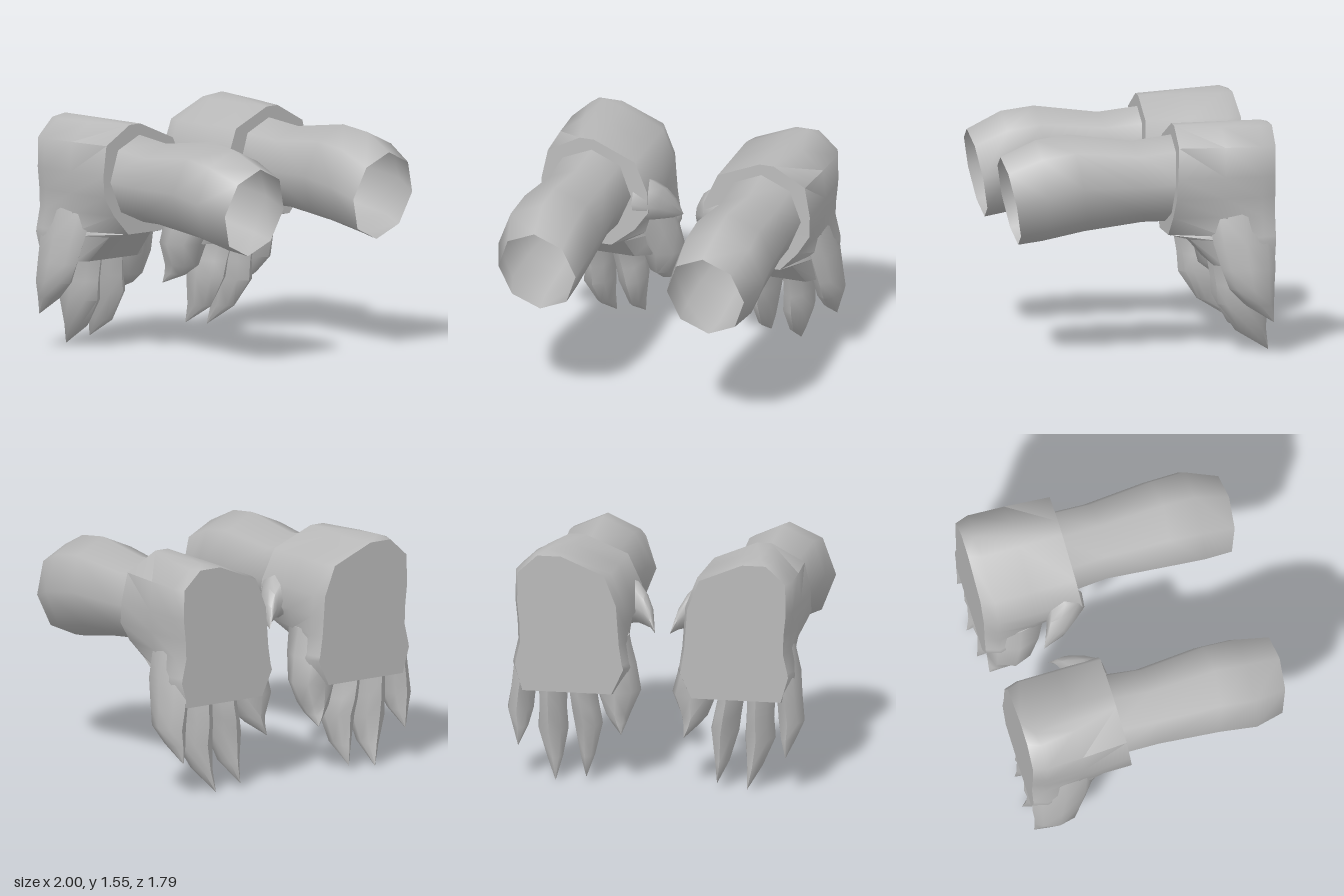
import * as THREE from 'three';
import { toCreasedNormals } from 'three/addons/utils/BufferGeometryUtils.js';

const V = (x, y, z) => new THREE.Vector3(x, y, z);

// Skin a list of equal-sized rings; an apex closes an end, null leaves it open.
function loft(rings, startApex, endApex, side, crease) {
  const n = rings[0].length;
  const points = rings.flat().map((p) => V(p.x * side, p.y, p.z));
  const index = [];
  for (let r = 0; r < rings.length - 1; r++) {
    for (let i = 0; i < n; i++) {
      const a = r * n + i, b = r * n + (i + 1) % n;
      index.push(a, b, b + n, a, b + n, a + n);
    }
  }
  const fan = (apex, start, flip) => {
    if (!apex) return;
    const c = points.push(V(apex.x * side, apex.y, apex.z)) - 1;
    for (let i = 0; i < n; i++) {
      const a = start + i, b = start + (i + 1) % n;
      index.push(c, ...(flip ? [b, a] : [a, b]));
    }
  };
  fan(startApex, 0, true);
  fan(endApex, (rings.length - 1) * n, false);

  // Turn all faces outward, whichever way the rings run
  const mid = points.reduce((s, p) => s.add(p), V(0, 0, 0)).divideScalar(points.length);
  const local = points.map((p) => p.clone().sub(mid));
  let volume = 0;
  for (let i = 0; i < index.length; i += 3) {
    volume += local[index[i]].dot(local[index[i + 1]].clone().cross(local[index[i + 2]]));
  }
  if (volume < 0) index.reverse();

  const geometry = new THREE.BufferGeometry().setFromPoints(points);
  geometry.setIndex(index);
  return toCreasedNormals(geometry, crease);
}

// Eight-sided oval; place() maps the unit circle to a point.
const oval = (place) => Array.from({ length: 8 }, (_, i) => {
  const a = (i / 8) * Math.PI * 2;
  return place(Math.sin(a), Math.cos(a));
});
const mix = (a, b, t) => (a + b) / 2 + ((b - a) / 2) * t;

// Forearm rings: bottom y, z; top y, z; inner x, outer x
const ARM = [
  [0.74, 0.78, 1.33, 0.90, 0.32, 0.86],
  [0.765, 0.62, 1.44, 0.67, 0.295, 0.93],
  [0.82, 0.34, 1.47, 0.45, 0.30, 0.91],
  [0.87, -0.05, 1.415, 0.02, 0.335, 0.875],
  [0.87, -0.35, 1.46, -0.35, 0.30, 0.88],
];

// Palm levels: y, front inner x, front outer x, front z, back inner x, back outer x
const PALM = [
  [1.52, 0.58, 0.68, -0.25, 0.58, 0.80],
  [1.40, 0.29, 0.90, -0.243, 0.29, 0.93],
  [1.20, 0.20, 0.94, -0.23, 0.21, 0.935],
  [1.06, 0.19, 0.94, -0.22, 0.20, 0.92],
  [0.93, 0.28, 0.86, -0.21, 0.19, 0.915],
  [0.80, 0.44, 0.74, -0.20, 0.17, 0.945],
  [0.77, 0.40, 0.78, -0.34, 0.16, 0.95],
  [0.60, 0.38, 0.82, -0.49, 0.24, 0.90],
];

// Finger levels: y, inner x, outer x, front z, back z; then the claw tip
const FINGERS = {
  outerFinger: {
    levels: [[0.95, 0.74, 0.91, -0.45, -0.88], [0.75, 0.78, 0.965, -0.48, -0.89],
      [0.58, 0.815, 0.98, -0.53, -0.89], [0.45, 0.825, 1.0, -0.58, -0.88],
      [0.34, 0.85, 0.955, -0.69, -0.88]],
    tip: V(0.9, 0.22, -0.88),
  },
  ringFinger: {
    levels: [[0.8, 0.6, 0.8, -0.45, -0.89], [0.57, 0.605, 0.795, -0.51, -0.89],
      [0.45, 0.605, 0.79, -0.53, -0.89], [0.32, 0.595, 0.8, -0.54, -0.87],
      [0.14, 0.62, 0.725, -0.66, -0.87]],
    tip: V(0.645, 0, -0.89),
  },
  middleFinger: {
    levels: [[0.8, 0.41, 0.6, -0.45, -0.89], [0.57, 0.41, 0.585, -0.51, -0.89],
      [0.47, 0.39, 0.57, -0.53, -0.89], [0.36, 0.365, 0.555, -0.54, -0.87],
      [0.16, 0.405, 0.5, -0.65, -0.87]],
    tip: V(0.44, 0.03, -0.88),
  },
  innerFinger: {
    levels: [[0.95, 0.2, 0.45, -0.42, -0.87], [0.77, 0.145, 0.45, -0.47, -0.87],
      [0.6, 0.105, 0.405, -0.55, -0.87], [0.45, 0.17, 0.345, -0.59, -0.86],
      [0.39, 0.19, 0.29, -0.67, -0.86]],
    tip: V(0.21, 0.32, -0.86),
  },
};

// Thumb sections: x, bottom y, top y, back z, front z
const THUMB = [
  [0.30, 0.95, 1.28, -0.50, -0.20],
  [0.20, 0.96, 1.24, -0.47, -0.21],
  [0.14, 0.955, 1.18, -0.49, -0.29],
  [0.09, 0.95, 1.09, -0.51, -0.37],
];

function palmRing([y, fi, fo, zf, bi, bo]) {
  const so = mix(fo, bo, 0.4), si = mix(fi, bi, 0.4);
  return [
    V(fi, y, zf), V(fo, y, zf), V(so, y, -0.55), V(bo, y, -0.8),
    V(bo - 0.03, y, -0.89), V(bi + 0.03, y, -0.89), V(bi, y, -0.8), V(si, y, -0.55),
  ];
}

export function createModel() {
  const model = new THREE.Group();
  model.name = 'clawedArms';
  const grey = new THREE.MeshStandardMaterial({ color: 0xb8b8b8, side: THREE.DoubleSide });
  grey.name = 'grey';

  for (const side of [1, -1]) {
    const arm = new THREE.Group();
    arm.name = side > 0 ? 'leftArm' : 'rightArm';
    model.add(arm);
    const add = (name, rings, start, end, crease = 1.1) => {
      const mesh = new THREE.Mesh(loft(rings, start, end, side, crease), grey);
      mesh.name = name;
      arm.add(mesh);
    };

    // Hollow forearm, open at the front and closed inside the hand
    add('forearm', ARM.map(([yb, zb, yt, zt, xi, xo]) =>
      oval((s, c) => V(mix(xi, xo, s), mix(yb, yt, c), mix(zb, zt, c)))),
    null, V(0.58, 1.15, -0.36));

    // Cuff and palm
    add('palm', PALM.map(palmRing), V(0.72, 1.55, -0.82), V(0.57, 0.57, -0.72), 0.95);

    // Clawed fingers
    for (const [name, { levels, tip }] of Object.entries(FINGERS)) {
      add(name, levels.map(([y, xi, xo, zf, zb]) =>
        oval((s, c) => V(mix(xi, xo, s), y, mix(zb, zf, c)))),
      V(mix(levels[0][1], levels[0][2], 0), levels[0][0], -0.7), tip);
    }

    // Backward-curling thumb
    add('thumb', THUMB.map(([x, yb, yt, zb, zf]) =>
      oval((s, c) => V(x, mix(yb, yt, s), mix(zb, zf, c)))),
    V(0.32, 1.1, -0.35), V(0.05, 0.94, -0.53));
  }
  return model;
}
